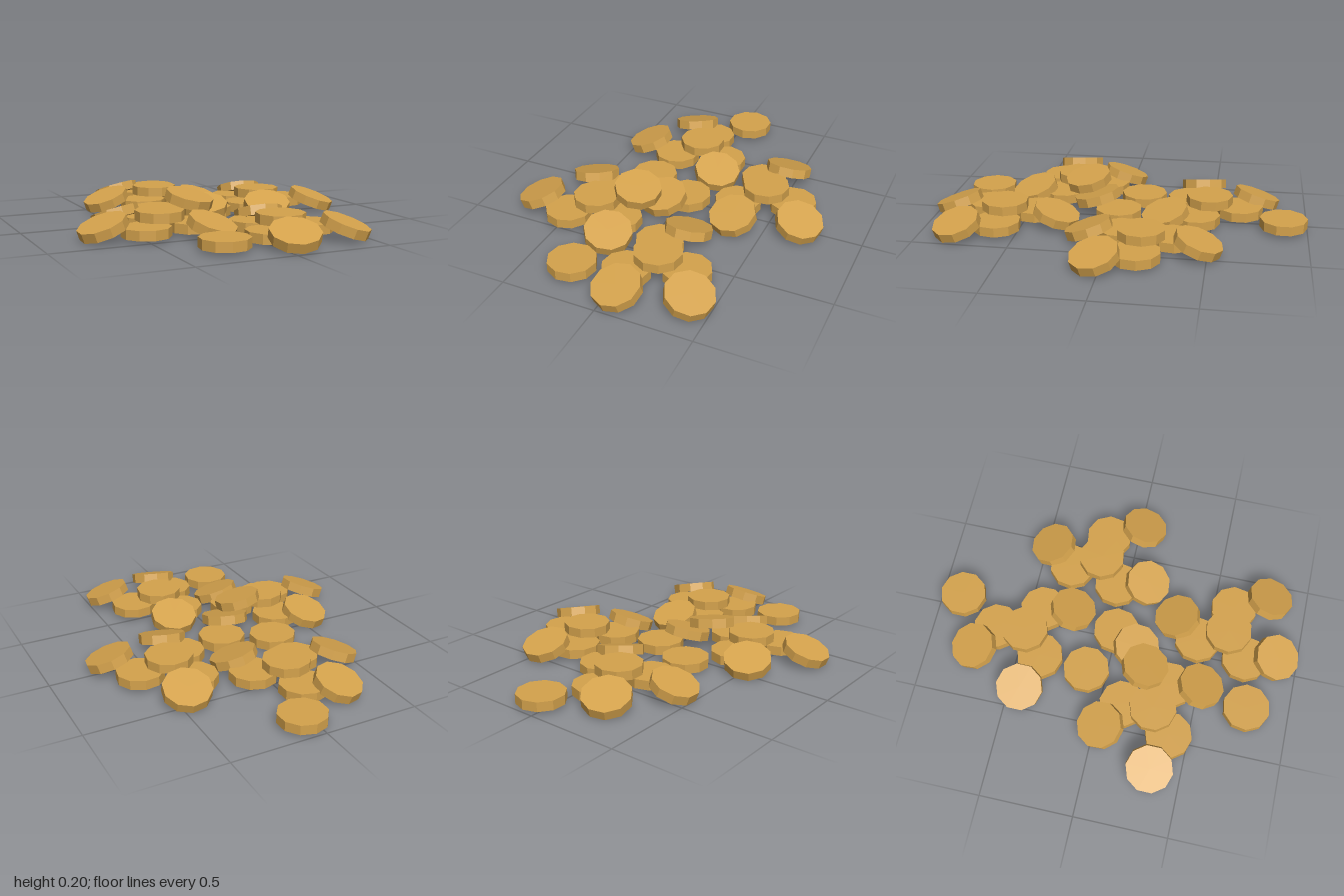
import * as THREE from 'three';

export function createModel() {
  const root = new THREE.Group();
  root.name = 'coinHeap';
  const gold = new THREE.MeshStandardMaterial({ color: 0xd4a24c, flatShading: true });
  gold.name = 'gold';
  const disc = new THREE.CylinderGeometry(0.125, 0.125, 0.05, 10);
  const rad = THREE.MathUtils.degToRad;
  const up = new THREE.Vector3(0, 1, 0);

  // One coin; its face leans by `tilt` degrees towards `heading` (from +x towards +z)
  function addCoin(parent, name, x, y, z, tilt = 0, heading = 0) {
    const coin = new THREE.Mesh(disc, gold);
    coin.name = name;
    coin.position.set(x, y, z);
    const s = Math.sin(rad(tilt)), a = rad(heading);
    const normal = new THREE.Vector3(s * Math.cos(a), Math.cos(rad(tilt)), s * Math.sin(a));
    coin.quaternion.setFromUnitVectors(up, normal);
    parent.add(coin);
  }

  // A pile: three flat coins, one on top, three leaning outward, one loose beside it
  function addPile(x, z, turn) {
    const pile = new THREE.Group();
    pile.name = 'coinPile';
    for (const [px, pz] of [[0, -0.163], [-0.113, 0.108], [0.157, 0.06]]) {
      addCoin(pile, 'baseCoin', px, 0.05, pz);
    }
    addCoin(pile, 'topCoin', 0, 0.105, 0);
    for (const [px, pz] of [[-0.143, -0.252], [-0.312, 0.047], [0.183, 0.223]]) {
      addCoin(pile, 'leaningCoin', px, 0.076, pz, 20, THREE.MathUtils.radToDeg(Math.atan2(pz, px)));
    }
    addCoin(pile, 'looseCoin', 0.147, 0.05, -0.396);
    pile.position.set(x, 0, z);
    pile.rotation.y = rad(turn);
    root.add(pile);
  }

  addPile(-0.09, -0.48, 0);
  addPile(-0.37, 0.287, 0);
  addPile(0.417, -0.168, 134);
  addPile(0.14, 0.6, 134);

  // Two coins resting between the piles
  addCoin(root, 'middleCoin', -0.055, 0.1, 0.13, 16, 105);
  addCoin(root, 'highCoin', -0.17, 0.158, 0.2, 15, 48);
  return root;
}
